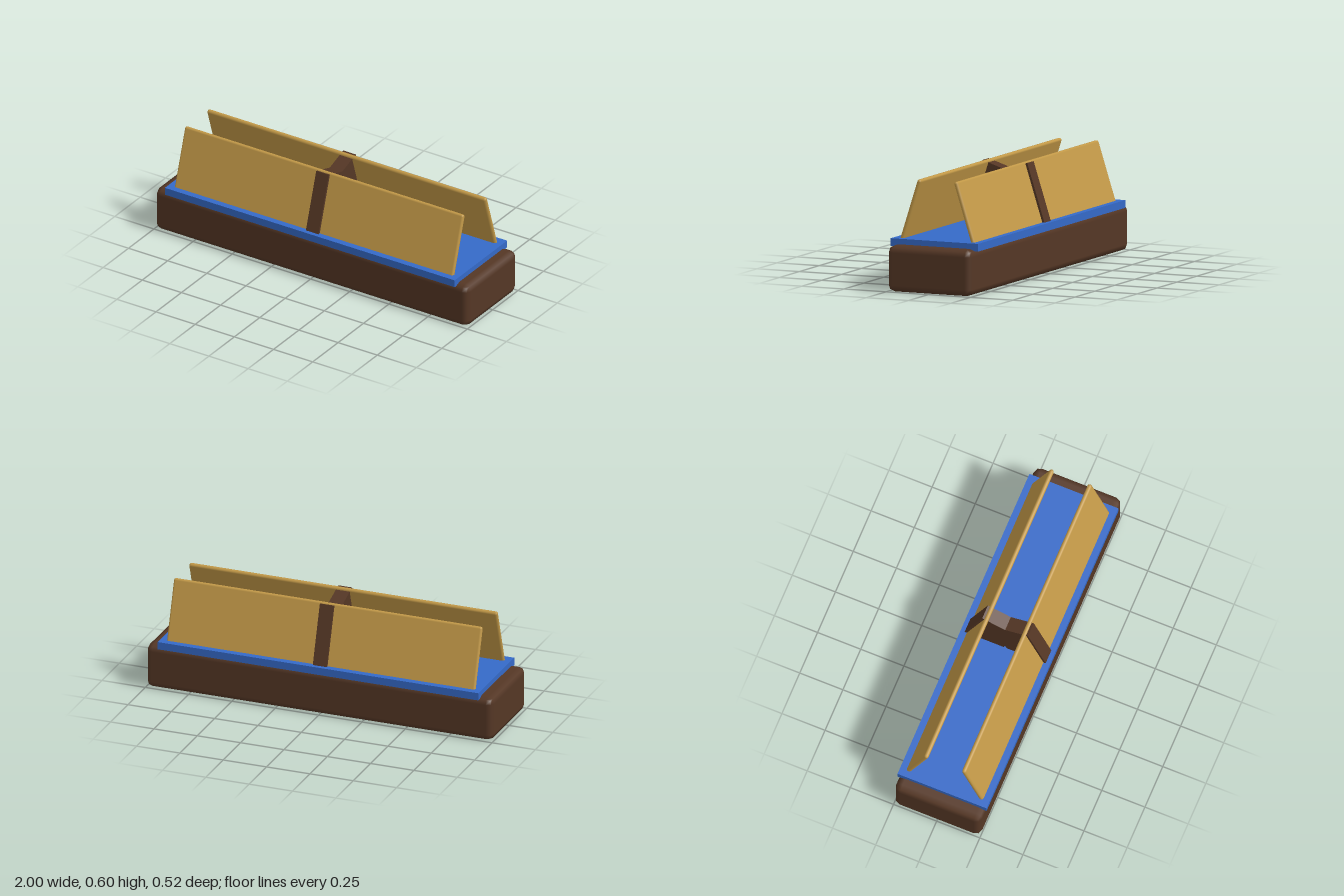
import * as THREE from 'three';
import { RoundedBoxGeometry } from 'three/addons/geometries/RoundedBoxGeometry.js';

const mat = (name, color) => {
  const m = new THREE.MeshStandardMaterial({ color });
  m.name = name;
  return m;
};

export function createModel() {
  const darkWood = mat('darkWood', 0x553725);
  const lightWood = mat('lightWood', 0xc49a48);
  const blue = mat('blue', 0x356ac8);

  const model = new THREE.Group();
  model.name = 'slopedRack';

  const add = (parent, name, geometry, material, x, y, z, tilt = 0) => {
    const mesh = new THREE.Mesh(geometry, material);
    mesh.name = name;
    mesh.position.set(x, y, z);
    mesh.rotation.x = tilt;
    parent.add(mesh);
  };

  // Soft-edged plinth and the slab set over its top
  add(model, 'base', new RoundedBoxGeometry(2, 0.25, 0.5, 1, 0.0375), darkWood, 0, 0.125, 0);
  add(model, 'slab', new THREE.BoxGeometry(1.85, 0.042, 0.516), blue, 0, 0.259, 0);

  // Two leaning sides, each a thin board and a thick central support
  const tilt = -0.31;
  const board = new RoundedBoxGeometry(1.78, 0.36, 0.025, 1, 0.0125);
  const support = new THREE.BoxGeometry(0.08, 0.36, 0.215);
  for (const [name, turn] of [['frontSide', 0], ['backSide', Math.PI]]) {
    const side = new THREE.Group();
    side.name = name;
    add(side, 'board', board, lightWood, 0, 0.429, 0.161, tilt);
    add(side, 'support', support, darkWood, 0, 0.393, 0.0855, tilt);
    side.rotation.y = turn;
    model.add(side);
  }
  return model;
}
